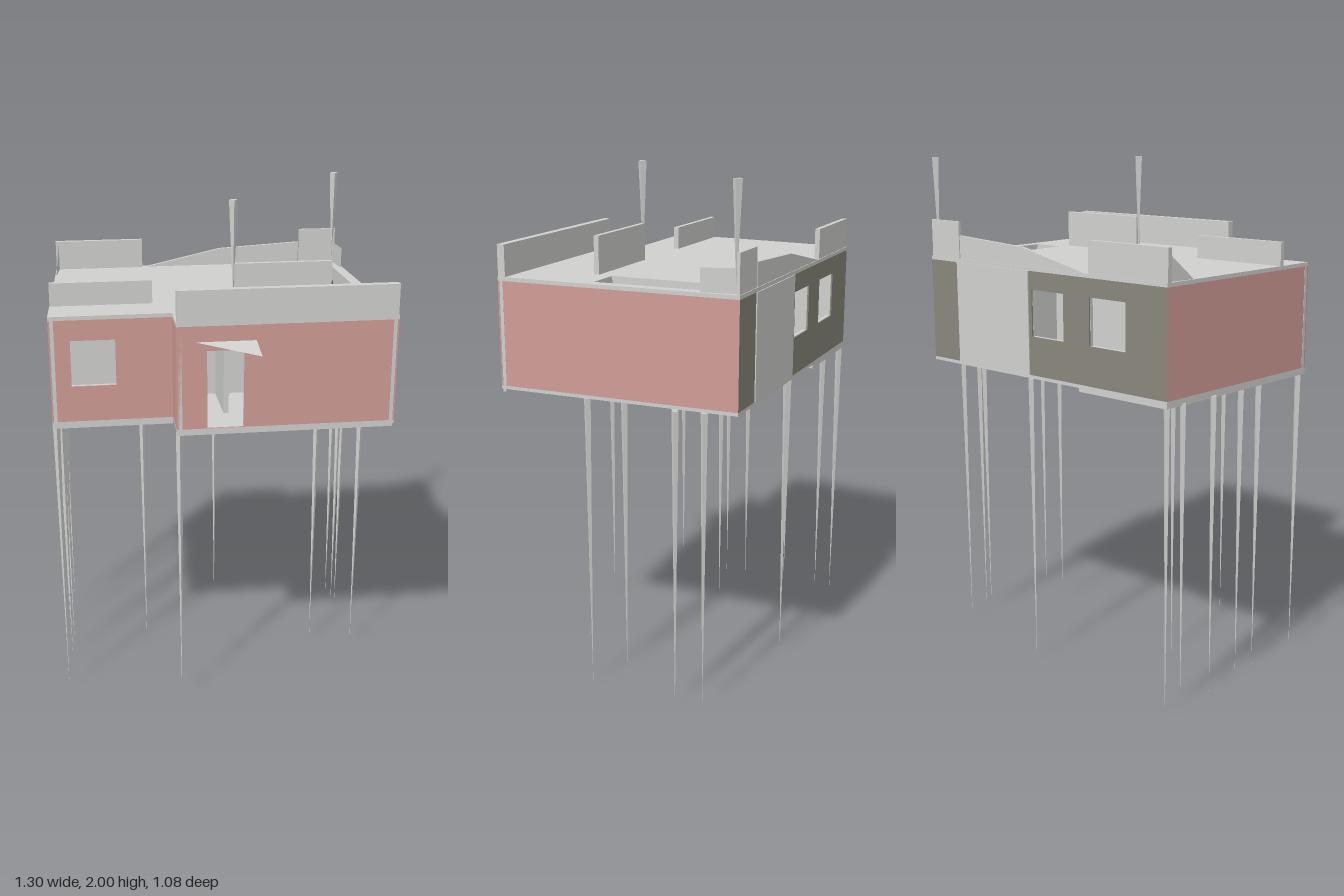
import * as THREE from 'three';

const flat = (name, color, side = THREE.FrontSide) => {
  const m = new THREE.MeshStandardMaterial({ color, side });
  m.name = name;
  return m;
};

export function createModel() {
  const model = new THREE.Group();
  model.name = 'houseOnStilts';
  const gray = flat('pale gray', 0xd0d0ce, THREE.DoubleSide);
  const pink = flat('pink render', 0xd09c96);
  const olive = flat('dark olive', 0x8a887c);
  const dark = flat('dark stair', 0x585858);

  const add = (name, geometry, material, parent = model) => {
    const mesh = new THREE.Mesh(geometry, material);
    mesh.name = name;
    parent.add(mesh);
    return mesh;
  };
  const box = (name, x0, x1, y0, y1, z0, z1, material = gray) => {
    const g = new THREE.BoxGeometry(x1 - x0, y1 - y0, z1 - z0);
    g.translate((x0 + x1) / 2, (y0 + y1) / 2, (z0 + z1) / 2);
    return add(name, g, material);
  };
  const points = (list) => list.map(([x, y]) => new THREE.Vector2(x, y));
  const extrude = (outline, holes, depth) => {
    const shape = new THREE.Shape(points(outline));
    holes.forEach((h) => shape.holes.push(new THREE.Path(points(h))));
    return new THREE.ExtrudeGeometry(shape, { depth, bevelEnabled: false });
  };
  // Horizontal slab from an x, z outline
  const slab = (name, outline, y0, y1, holes = []) => {
    const flip = (l) => l.map(([x, z]) => [x, -z]);
    const g = extrude(flip(outline), holes.map(flip), y1 - y0);
    add(name, g.rotateX(-Math.PI / 2).translate(0, y0, 0), gray);
  };
  // Vertical flat panel from a list of 3D corners
  const panel = (name, corners) => {
    const g = new THREE.BufferGeometry();
    g.setAttribute('position', new THREE.Float32BufferAttribute(corners.flat(), 3));
    g.setIndex(corners.length === 4 ? [0, 1, 2, 0, 2, 3] : [0, 1, 2]);
    const flatG = g.toNonIndexed();
    flatG.computeVertexNormals();
    add(name, flatG, gray);
  };

  // Floors and roof with stair opening
  const step = [-0.19, 0.265];
  const outline = [[-0.655, 0.265], step, [-0.19, 0.41], [0.65, 0.41], [0.62, -0.54], [-0.61, -0.54]];
  slab('leftFloor', [outline[0], step, [-0.19, -0.54], outline[5]], 1.168, 1.195);
  slab('rightFloor', [[-0.19, 0.41], outline[3], outline[4], [-0.19, -0.54]], 1.182, 1.195);
  box('frontFloorEdge', -0.19, 0.645, 1.17, 1.183, 0.395, 0.409);
  slab('roof', outline, 1.595, 1.61, [[[0.45, -0.5], [0.58, -0.5], [0.595, 0.035], [0.46, 0.035]]]);

  // Walls: coloured skin outside, pale lining inside; openings are [u0, u1, y0, y1]
  const wall = (name, a, b, skin, openings = []) => {
    const dx = b[0] - a[0], dz = b[1] - a[1], len = Math.hypot(dx, dz);
    const group = new THREE.Group();
    group.name = name;
    group.position.set(a[0], 0, a[1]);
    group.rotation.y = Math.atan2(-dz, dx);
    const rect = (u0, u1, y0, y1) => [[u0, y0], [u1, y0], [u1, y1], [u0, y1]];
    const make = (depth) => extrude(rect(0, len, 1.195, 1.595), openings.map((o) => rect(...o)), depth);
    add('skin', make(0.006).translate(0, 0, -0.006), skin, group);
    add('lining', make(0.014).translate(0, 0, -0.0205), gray, group);
    model.add(group);
  };
  const [p0, p1, p2, p3, p4, p5] = outline;
  wall('frontLeftWall', p0, p1, pink, [[0.08, 0.25, 1.335, 1.515]]);
  wall('stepWall', p1, p2, pink);
  wall('frontWall', p2, p3, pink, [[0.115, 0.255, 1.196, 1.5]]);
  wall('rightWall', p3, p4, pink);
  wall('backWall', p4, p5, olive, [[0.57, 0.735, 1.345, 1.525], [0.865, 1.04, 1.345, 1.525]]);
  wall('leftWall', p5, p0, pink);
  box('backDoorPanel', 0.065, 0.465, 1.195, 1.595, -0.544, -0.538);
  box('innerPartition', -0.62, 0.44, 1.195, 1.595, -0.01, 0.01);
  box('innerDivider', 0.01, 0.03, 1.195, 1.595, 0.01, 0.25);

  // Roof parapets
  box('frontParapet', -0.187, 0.647, 1.61, 1.73, 0.38, 0.41);
  box('leftMiddleParapet', -0.645, -0.25, 1.61, 1.7, 0.09, 0.11);
  box('rightMiddleParapet', 0.07, 0.457, 1.61, 1.755, 0.09, 0.11);
  box('backLeftParapet', -0.61, -0.24, 1.61, 1.73, -0.537, -0.517);
  box('backRightParapet', 0.455, 0.615, 1.61, 1.755, -0.537, -0.525);
  const low = extrude([[-0.22, 1.61], [0.45, 1.61], [0.45, 1.7], [0.1, 1.68]], [], 0.015);
  add('lowBackParapet', low.translate(0, 0, -0.537), gray);
  panel('leftCornerBrace', [[-0.595, 1.61, -0.535], [-0.595, 1.725, -0.535], [-0.613, 1.61, -0.4]]);
  panel('rightCornerPanel', [[0.6, 1.61, -0.53], [0.6, 1.7, -0.53], [0.615, 1.695, -0.39], [0.615, 1.61, -0.39]]);

  // Pointed canopy over the front door
  panel('doorCanopy', [[-0.12, 1.535, 0.41], [0.11, 1.51, 0.535], [0.11, 1.535, 0.41]]);

  // Stairs rising to the back
  for (let i = 0; i < 8; i++) {
    const tread = add('stairTread', new THREE.BoxGeometry(0.125, 0.012, 0.05), dark);
    tread.position.set(0.52 + 0.008 * (1 - i / 7), 1.23 + i * 0.045, 0.0 - i * 0.057);
    tread.rotation.y = -0.2;
  }
  box('stairLanding', 0.455, 0.58, 1.57, 1.585, -0.5, -0.445);
  box('stairSideWall', 0.44, 0.452, 1.195, 1.595, -0.5, 0.035);
  box('stairEndWall', 0.45, 0.6, 1.195, 1.595, 0.037, 0.047);

  // Stilts and roof spikes, tapering to a point at the bottom
  const spike = (name, x, z, y0, y1, r) => {
    const g = new THREE.ConeGeometry(r, y1 - y0, 4).toNonIndexed();
    g.rotateX(Math.PI);
    g.computeVertexNormals();
    add(name, g.translate(x, (y0 + y1) / 2, z), gray);
  };
  const stilts = [
    [-0.64, 0.24], [-0.62, 0], [-0.61, -0.1], [-0.625, -0.29], [-0.61, -0.45], [-0.598, -0.525],
    [-0.285, -0.1], [-0.178, 0.38], [0.077, -0.525], [0.44, 0], [0.61, 0.065], [0.605, -0.29],
    [0.605, -0.405], [0.625, -0.3],
  ];
  stilts.forEach(([x, z]) => spike('stilt', x, z, 0, 1.175, 0.014));
  spike('middleRoofSpike', 0.067, 0.1, 1.61, 2, 0.018);
  spike('cornerRoofSpike', 0.6, -0.518, 1.61, 2, 0.018);

  return model;
}
